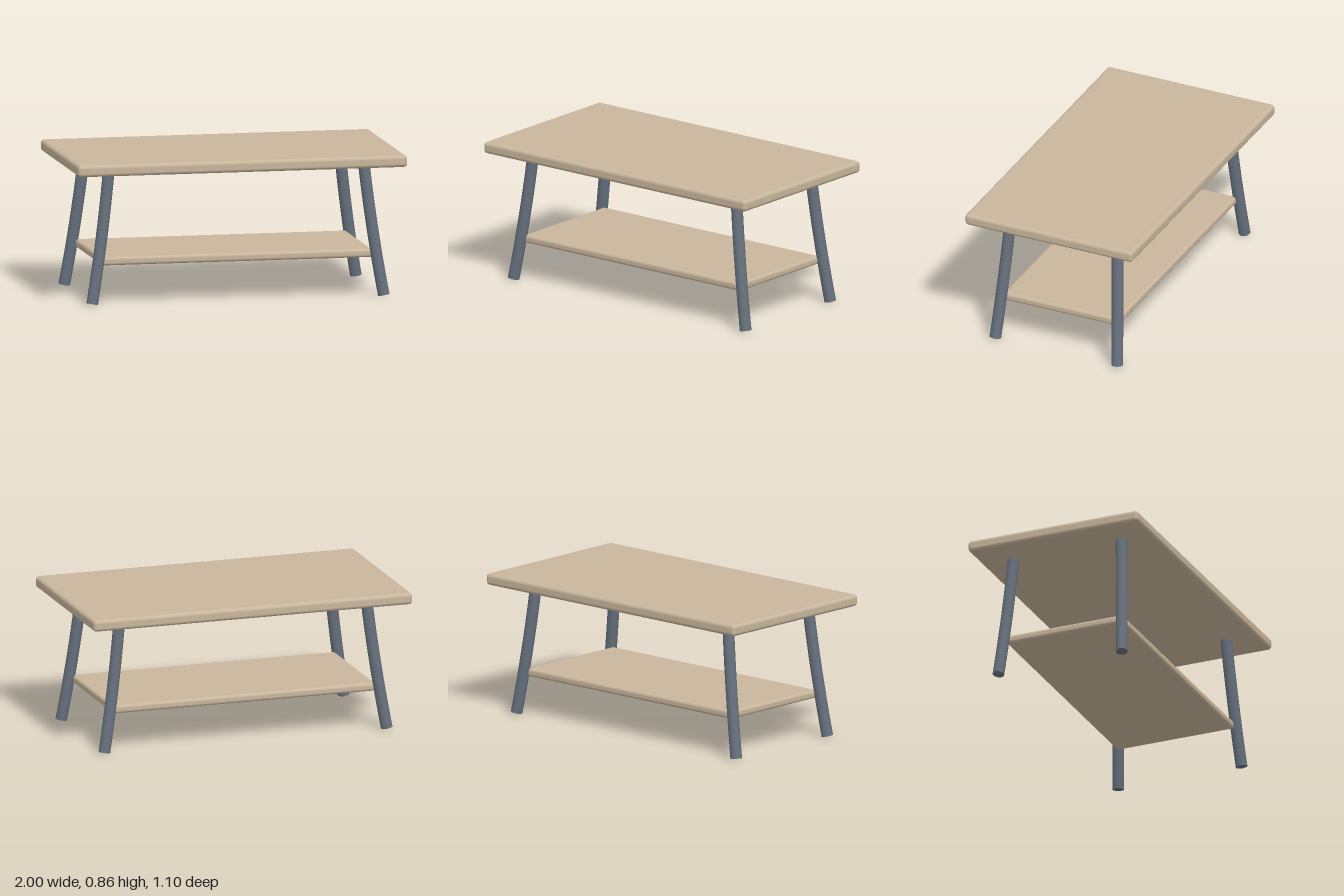
import * as THREE from 'three';
import { RoundedBoxGeometry } from 'three/addons/geometries/RoundedBoxGeometry.js';

export function createModel() {
  const table = new THREE.Group();
  table.name = 'coffeeTable';

  const wood = new THREE.MeshStandardMaterial({ color: 0xc8b69c });
  wood.name = 'pale wood';
  const steel = new THREE.MeshStandardMaterial({ color: 0x66717d });
  steel.name = 'slate grey';

  // Rounded wooden slab between two heights
  function slab(name, width, depth, bottom, top, radius) {
    const geometry = new RoundedBoxGeometry(width, top - bottom, depth, 4, radius);
    const mesh = new THREE.Mesh(geometry, wood);
    mesh.name = name;
    mesh.position.y = (bottom + top) / 2;
    table.add(mesh);
  }
  slab('tabletop', 2, 1.1, 0.79, 0.86, 0.022);
  slab('shelf', 1.65, 0.76, 0.23, 0.28, 0.018);

  // Gently bowed, splayed leg with closed ends
  const legRadius = 0.035;
  function leg(name, sx, sz) {
    const group = new THREE.Group();
    group.name = name;
    const curve = new THREE.QuadraticBezierCurve3(
      new THREE.Vector3(sx * 0.885, 0.006, sz * 0.4),
      new THREE.Vector3(sx * 0.812, 0.42, sz * 0.37),
      new THREE.Vector3(sx * 0.773, 0.81, sz * 0.349)
    );
    const shaft = new THREE.Mesh(new THREE.TubeGeometry(curve, 16, legRadius, 20), steel);
    shaft.name = 'legShaft';
    group.add(shaft);
    for (const [t, dir, capName] of [[0, -1, 'foot'], [1, 1, 'legTop']]) {
      const cap = new THREE.Mesh(new THREE.CircleGeometry(legRadius, 20), steel);
      cap.name = capName;
      cap.position.copy(curve.getPoint(t));
      cap.quaternion.setFromUnitVectors(
        new THREE.Vector3(0, 0, 1),
        curve.getTangent(t).multiplyScalar(dir)
      );
      group.add(cap);
    }
    table.add(group);
  }
  for (const [side, sx] of [['Left', 1], ['Right', -1]]) {
    for (const [end, sz] of [['front', 1], ['back', -1]]) leg(`${end}${side}Leg`, sx, sz);
  }

  return table;
}
